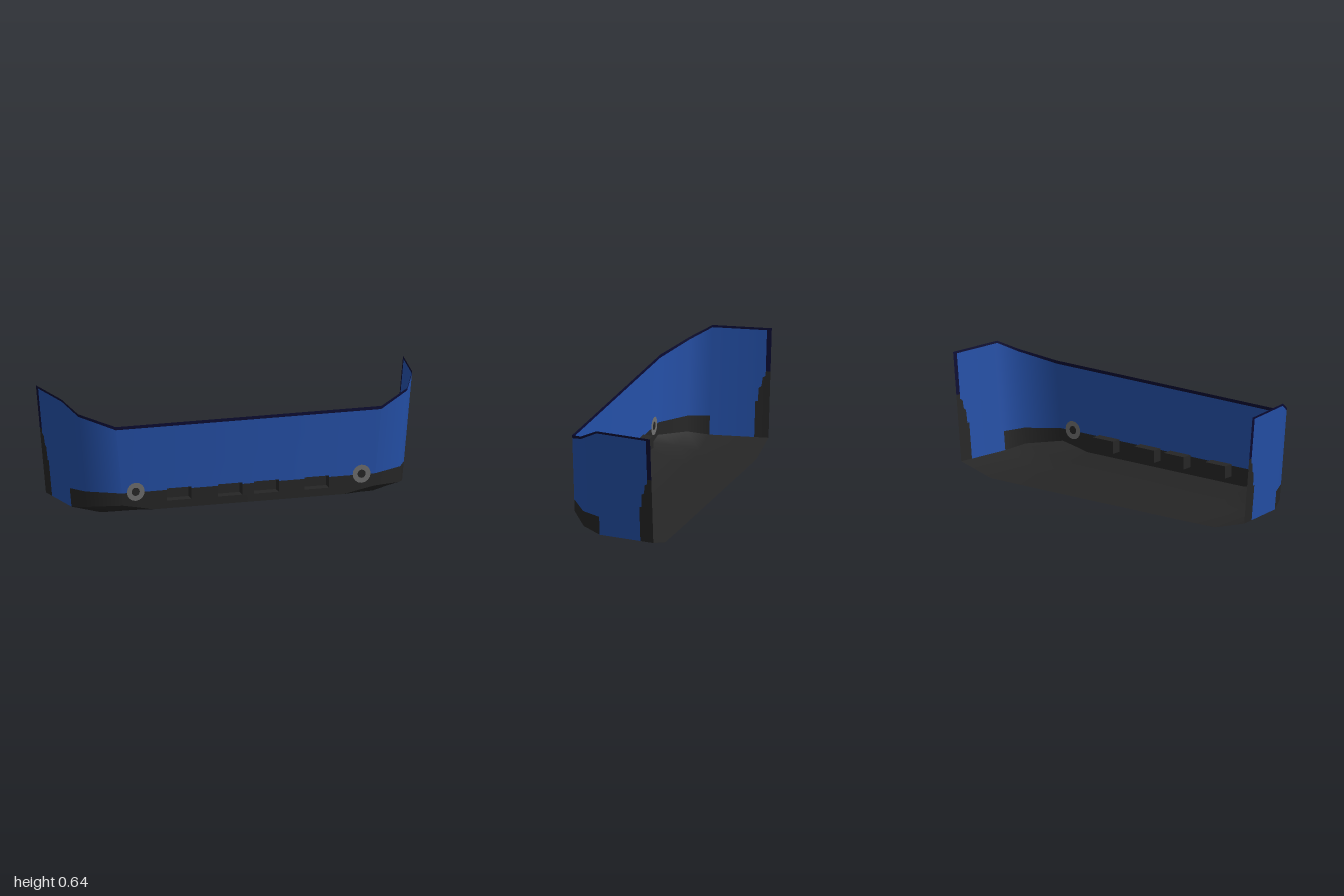
import * as THREE from 'three';

const mat = (name, color) => {
  const m = new THREE.MeshStandardMaterial({ color, side: THREE.DoubleSide });
  m.name = name;
  return m;
};

// Wall stations from the rear of a side to the front corner:
// half-width at y = 0, depth, top and bottom height, outward normal
const LEAN = 0.094;
const STATIONS = [
  { x: 0.94, z: -0.26, top: 0.64, bottom: 0.057, n: [1, -0.09, 0.145] },
  { x: 0.895, z: 0.05, top: 0.64, bottom: 0.057, n: [1, -0.09, 0.28] },
  { x: 0.842, z: 0.155, top: 0.583, bottom: 0.079, n: [0.75, -0.07, 0.75] },
  { x: 0.675, z: 0.26, top: 0.527, bottom: 0.1, n: [0.15, 0, 1] },
];
const FRONT_Z = 0.26;
const lerp = THREE.MathUtils.lerp;

// Triangulates a flat outline, then maps every (u, v) to a point and normal
function sheet(outline, map) {
  const g = new THREE.ShapeGeometry(new THREE.Shape(outline.map(([u, v]) => new THREE.Vector2(u, v))));
  const p = g.attributes.position, n = g.attributes.normal;
  for (let i = 0; i < p.count; i++) {
    const { pos, normal } = map(p.getX(i), p.getY(i));
    p.setXYZ(i, ...pos);
    n.setXYZ(i, ...normal.normalize().toArray());
  }
  // Turn the faces so that they agree with the normals
  const idx = g.index.array;
  const [a, b, c] = [0, 1, 2].map(() => new THREE.Vector3());
  const mean = new THREE.Vector3();
  for (let i = 0; i < idx.length; i += 3) {
    a.fromBufferAttribute(p, idx[i]);
    b.fromBufferAttribute(p, idx[i + 1]).sub(a);
    c.fromBufferAttribute(p, idx[i + 2]).sub(a);
    mean.fromBufferAttribute(n, idx[i]);
    if (b.cross(c).dot(mean) < 0) [idx[i + 1], idx[i + 2]] = [idx[i + 2], idx[i + 1]];
  }
  return g;
}

// Maps (t, y) onto the wall between two neighbouring stations
const wallMap = (k, side) => (t, y) => {
  const a = STATIONS[k], b = STATIONS[k + 1];
  const n = a.n.map((v, i) => lerp(v, b.n[i], t));
  return {
    pos: [side * (lerp(a.x, b.x, t) + LEAN * y), y, lerp(a.z, b.z, t)],
    normal: new THREE.Vector3(side * n[0], n[1], n[2]),
  };
};
const frontMap = (x, y) => ({ pos: [x, y, FRONT_Z], normal: new THREE.Vector3(0.12 * x, 0, 1) });

// Floor pan from cross-sections, mirrored about the middle
function floorGeometry() {
  const rows = [
    { z: -0.26, p: [[0, 0], [0.52, 0], [0.75, 0.002], [0.945, 0.057]] },
    { z: 0.05, p: [[0, 0.012], [0.52, 0.012], [0.74, 0.014], [0.9, 0.057]] },
    { z: 0.155, p: [[0, 0.04], [0.52, 0.04], [0.7, 0.046], [0.849, 0.079]] },
    { z: 0.26, p: [[0, 0.067], [0.52, 0.067], [0.6, 0.084], [0.684, 0.1]] },
  ];
  const pos = [], index = [];
  for (const { z, p } of rows) {
    const mirrored = p.slice(1).reverse().map(([x, y]) => [-x, y]);
    for (const [x, y] of [...mirrored, ...p]) pos.push(x, y, z);
  }
  const w = 7;
  for (let r = 0; r < rows.length - 1; r++) {
    for (let c = 0; c < w - 1; c++) {
      const i = r * w + c;
      index.push(i, i + w, i + 1, i + 1, i + w, i + w + 1);
    }
  }
  const g = new THREE.BufferGeometry();
  g.setAttribute('position', new THREE.Float32BufferAttribute(pos, 3));
  g.setIndex(index);
  g.computeVertexNormals();
  return g;
}

export function createModel() {
  const model = new THREE.Group();
  model.name = 'frontBumper';
  const blue = mat('bluePaint', 0x2450a8);
  const dark = mat('darkPlastic', 0x262626);
  const navy = mat('navyTrim', 0x0a0a32);
  const grey = mat('lampGrey', 0x707070);
  const add = (name, geometry, material) => {
    const m = new THREE.Mesh(geometry, material);
    m.name = name;
    model.add(m);
    return m;
  };

  add('floorPan', floorGeometry(), dark);

  for (const side of [1, -1]) {
    const label = side > 0 ? 'left' : 'right';

    // Side wall with the ragged dark edge at the wheel arch
    const arch = [[0.242, 0.057], [0.242, 0.25], [0.2, 0.25], [0.19, 0.32], [0.145, 0.33],
      [0.13, 0.375], [0.08, 0.385], [0.08, 0.41]];
    const sideMap = wallMap(0, side);
    add(label + 'ArchEdge', sheet([[0, 0.057], ...arch, [0, 0.41]], sideMap), dark);
    add(label + 'SideTrim', sheet([[0, 0.41], [0.08, 0.41], [0.08, 0.628], [1, 0.628], [1, 0.64], [0, 0.64]], sideMap), navy);
    add(label + 'SidePanel', sheet([...arch, [0.08, 0.628], [1, 0.628], [1, 0.057]], sideMap), blue);

    // Rounded corner in two facets: dark skirt, painted panel, top trim
    for (const k of [1, 2]) {
      const a = STATIONS[k], b = STATIONS[k + 1];
      const skirt = [k === 1 ? 0.158 : 0.163, k === 1 ? 0.163 : 0.166];
      const trim = k === 1 ? [0.012, 0.014] : [0.014, 0.017];
      const band = (lo, hi) => sheet([[0, lo[0]], [1, lo[1]], [1, hi[1]], [0, hi[0]]], wallMap(k, side));
      const tops = [a.top, b.top], under = tops.map((v, i) => v - trim[i]);
      add(label + 'CornerSkirt', band([a.bottom, b.bottom], skirt), dark);
      add(label + 'CornerPanel', band(skirt, under), blue);
      add(label + 'CornerTrim', band(under, tops), navy);
    }

    // Round lamp, showing on both faces of the front wall
    for (const face of [1, -1]) {
      const ring = add(label + 'LampRing', new THREE.RingGeometry(0.022, 0.049, 16), grey);
      const lens = add(label + 'LampCentre', new THREE.CircleGeometry(0.022, 16), dark);
      for (const m of [ring, lens]) {
        m.position.set(side * 0.615, 0.17, FRONT_Z + face * 0.003);
        if (face < 0) m.rotation.y = Math.PI;
      }
    }
  }

  // Front wall, notched around the four pockets
  const pockets = [-0.377, -0.1, 0.098, 0.372];
  const half = 0.067, low = 0.108, high = 0.174, line = 0.166;
  const edge = (y) => STATIONS[3].x + LEAN * y;
  const notched = (y) => pockets.flatMap((x) => [[x - half, line], [x - half, y], [x + half, y], [x + half, line]]);
  add('frontSkirt', sheet([[-edge(line), line], ...notched(low), [edge(line), line],
    [edge(0.1), 0.1], [0.6, 0.084], [0.52, 0.067], [-0.52, 0.067], [-0.6, 0.084], [-edge(0.1), 0.1]], frontMap), dark);
  add('frontPanel', sheet([[-edge(line), line], ...notched(high), [edge(line), line],
    [edge(0.51), 0.51], [-edge(0.51), 0.51]], frontMap), blue);
  add('frontTrim', sheet([[-edge(0.51), 0.51], [edge(0.51), 0.51], [edge(0.527), 0.527], [-edge(0.527), 0.527]], frontMap), navy);

  // Open-fronted pockets set back into the wall
  for (const x of pockets) {
    const g = new THREE.BoxGeometry(half * 2, high - low, 0.055);
    const faces = Array.from(g.index.array);
    faces.splice(24, 6);
    g.setIndex(faces);
    g.clearGroups();
    add('pocket', g, dark).position.set(x, (low + high) / 2, FRONT_Z - 0.0275);
  }
  return model;
}
